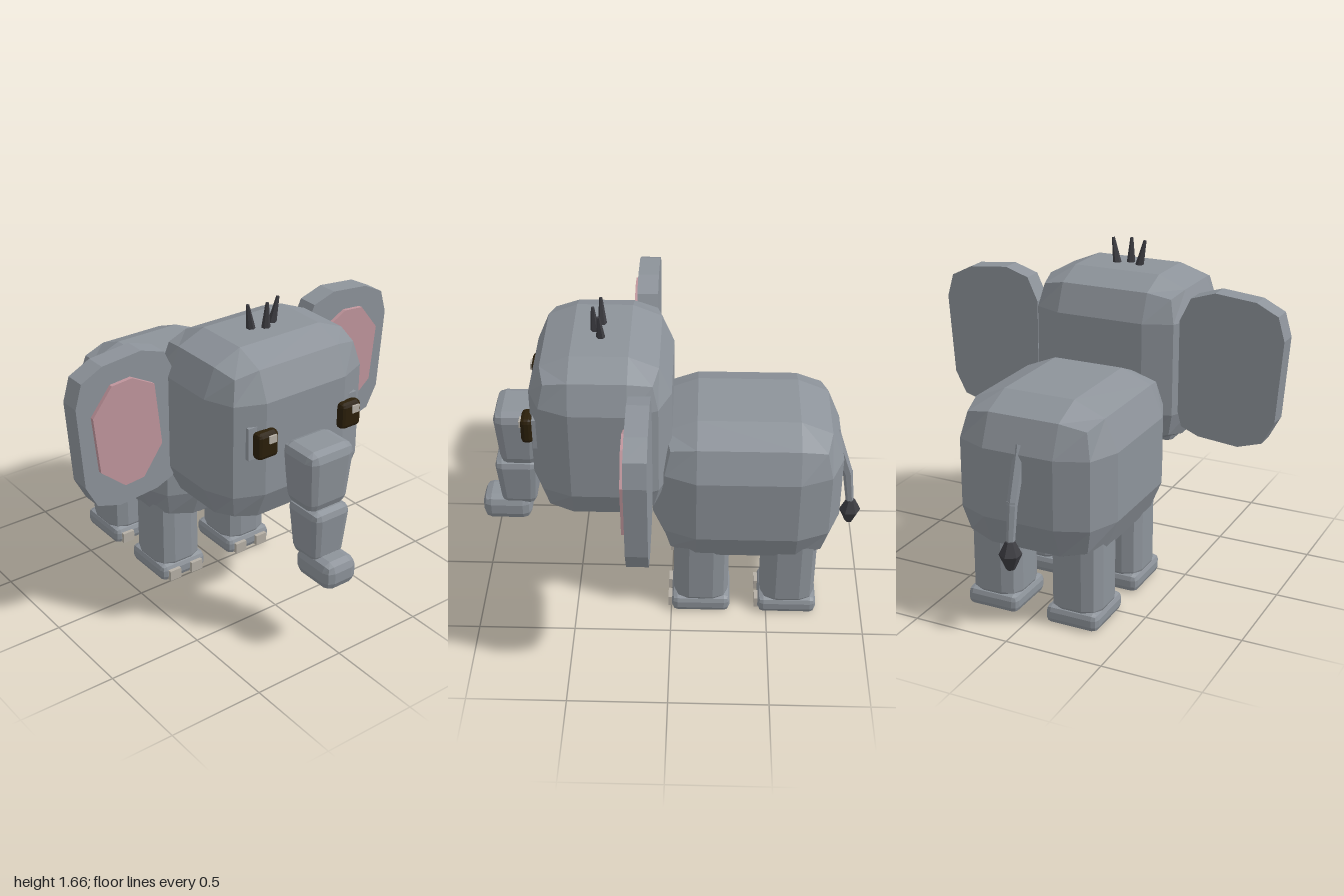
import * as THREE from 'three';
import { RoundedBoxGeometry } from 'three/addons/geometries/RoundedBoxGeometry.js';

const paint = (name, color) => {
  const m = new THREE.MeshStandardMaterial({ color });
  m.name = name;
  return m;
};

// Faceted normals for the low-poly look
function facet(geo) {
  const g = geo.index ? geo.toNonIndexed() : geo;
  g.computeVertexNormals();
  return g;
}

// Chamfered box; taper is the bottom width relative to the top
function softBox(w, h, d, r, taper = 1) {
  const g = new RoundedBoxGeometry(w, h, d, 1, r);
  const p = g.attributes.position;
  for (let i = 0; i < p.count; i++) {
    const s = THREE.MathUtils.lerp(taper, 1, p.getY(i) / h + 0.5);
    p.setX(i, p.getX(i) * s);
    p.setZ(i, p.getZ(i) * s);
  }
  return facet(g);
}

// Tapered six-sided rod between two points
function rod(a, b, ra, rb) {
  const from = new THREE.Vector3(...a), to = new THREE.Vector3(...b);
  const dir = to.clone().sub(from);
  const g = new THREE.CylinderGeometry(rb, ra, dir.length(), 6);
  g.applyQuaternion(new THREE.Quaternion().setFromUnitVectors(
    new THREE.Vector3(0, 1, 0), dir.clone().normalize()));
  g.translate(...from.add(to).multiplyScalar(0.5).toArray());
  return facet(g);
}

// Flat slab from an outline, mirrored to either side
function slab(points, side, z, depth) {
  const shape = new THREE.Shape(points.map(([x, y]) => new THREE.Vector2(x * side, y)));
  const g = new THREE.ExtrudeGeometry(shape, { depth, bevelEnabled: false });
  g.translate(0, 0, z);
  return facet(g);
}

export function createModel() {
  const model = new THREE.Group();
  model.name = 'elephant';
  const grey = paint('skin grey', 0x8d939a);
  const pink = paint('inner ear pink', 0xc0959c);
  const dark = paint('hair charcoal', 0x3d3d42);
  const brown = paint('eye brown', 0x2b1f0a);
  const ivory = paint('nail ivory', 0xb5afa5);

  const add = (name, geo, mat, x = 0, y = 0, z = 0) => {
    const mesh = new THREE.Mesh(geo, mat);
    mesh.name = name;
    mesh.position.set(x, y, z);
    model.add(mesh);
    return mesh;
  };

  // Body and head
  add('body', softBox(0.82, 0.8, 0.96, 0.225), grey, 0, 0.73, -0.38);
  add('head', softBox(0.88, 0.89, 0.69, 0.205), grey, 0, 1.085, 0.345);

  // Trunk in three pieces
  add('upperTrunk', softBox(0.285, 0.33, 0.24, 0.05, 0.8), grey, 0, 0.935, 0.785);
  add('middleTrunk', softBox(0.225, 0.29, 0.23, 0.04, 0.78), grey, 0, 0.64, 0.805);
  add('trunkTip', softBox(0.19, 0.145, 0.255, 0.045), grey, 0, 0.462, 0.873);

  // Legs, feet and toenails
  for (const side of [-1, 1]) {
    for (const [pos, z] of [['front', -0.155], ['rear', -0.608]]) {
      add(pos + 'Leg', softBox(0.265, 0.56, 0.285, 0.08), grey, side * 0.219, 0.3, z);
      add(pos + 'Foot', softBox(0.278, 0.095, 0.305, 0.03), grey, side * 0.218, 0.048, z);
      for (const x of [0.15, 0.288])
        add(pos + 'Toenail', facet(new THREE.BoxGeometry(0.068, 0.058, 0.04)), ivory,
          side * x, 0.04, z + 0.151);
    }
  }

  // Ears with pink inner plates
  const ear = [[0.945, 1.305], [0.91, 1.425], [0.797, 1.482], [0.584, 1.503], [0.457, 1.462],
    [0.4, 1.34], [0.4, 0.86], [0.42, 0.785], [0.513, 0.746], [0.726, 0.726], [0.853, 0.766],
    [0.914, 0.883]];
  const inner = [[0.868, 1.244], [0.761, 1.38], [0.65, 1.39], [0.528, 1.325], [0.492, 1.0],
    [0.6, 0.848], [0.706, 0.838], [0.838, 0.95]];
  for (const side of [-1, 1]) {
    add('ear', slab(ear, side, 0.09, 0.107), grey);
    add('innerEar', slab(inner, side, 0.195, 0.022), pink);
  }

  // Eyes set on small sockets
  for (const side of [-1, 1]) {
    add('eyeSocket', facet(new THREE.BoxGeometry(0.145, 0.165, 0.05)), grey, side * 0.253, 1.132, 0.648);
    add('eye', softBox(0.118, 0.135, 0.06, 0.02), brown, side * 0.251, 1.131, 0.703);
    add('eyeGlint', facet(new THREE.BoxGeometry(0.042, 0.038, 0.03)), ivory,
      side * 0.251 + 0.018, 1.164, 0.726);
  }

  // Tuft of hair on the head
  for (const i of [-1, 0, 1]) {
    const z = i ? 0.345 : 0.378;
    add('hairSpike', rod([i * 0.06, 1.51, z], [i * 0.09, 1.657, z + 0.008], 0.024, 0.008), dark);
  }

  // Tail
  add('upperTail', rod([0, 0.94, -0.82], [0, 0.67, -0.912], 0.032, 0.026), grey);
  add('lowerTail', rod([0, 0.69, -0.908], [0, 0.46, -0.938], 0.026, 0.02), grey);
  const tuft = [[0, -0.075], [0.022, -0.072], [0.056, 0.005], [0.024, 0.07], [0, 0.072]]
    .map(([r, y]) => new THREE.Vector2(r, y));
  add('tailTuft', facet(new THREE.LatheGeometry(tuft, 6)), dark, 0, 0.428, -0.938);

  return model;
}
